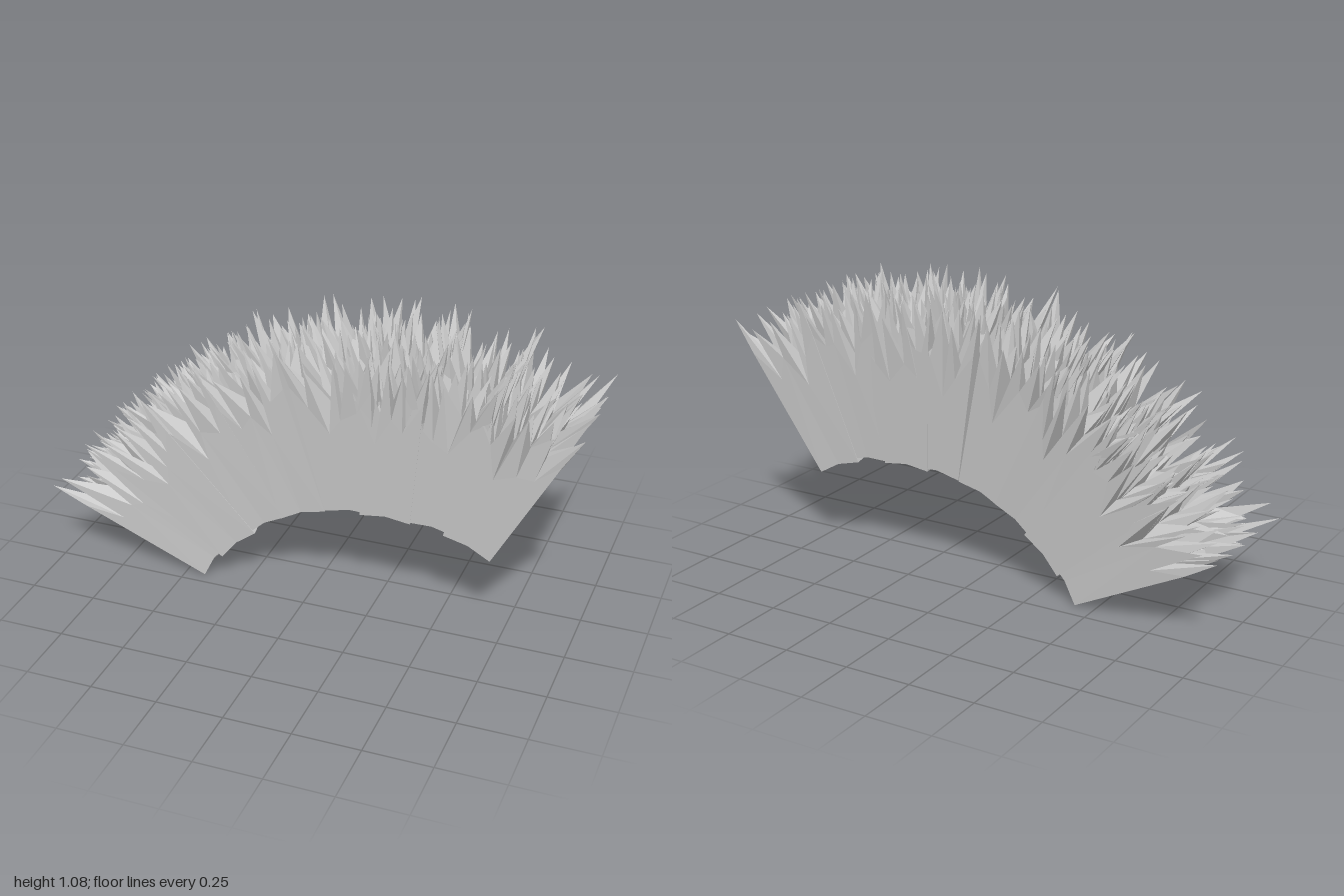
import * as THREE from 'three';

// small seeded generator for the spike irregularity, -0.5 to 0.5
function seeded(seed) {
  return () => {
    seed = (seed * 16807) % 2147483647;
    return seed / 2147483647 - 0.5;
  };
}

const BASE = 0.095;   // half width of a tuft at its root
const TIP = 0.168;    // half width at the spike tips
const LENGTH = 0.665; // root to tip
const N = 5;          // spikes per side

// One tuft: arched underside, flaring walls, and a field of tall pointed spikes
function tuftGeometry(rnd) {
  const pos = [];
  const tri = (a, b, c) => pos.push(...a, ...b, ...c);
  const quad = (a, b, c, d) => { tri(a, b, c); tri(a, c, d); };
  const flare = (h) => BASE + (TIP - BASE) * h / LENGTH;
  const isEdge = (i) => i === 0 || i === N;

  // underside: four corners, a raised middle and slightly raised edge middles
  const root = [-1, 0, 1].map((u) => [-1, 0, 1].map((v) =>
    [u * BASE, 0.013 * (2 - u * u - v * v), v * BASE]));
  for (let i = 0; i < 2; i++) {
    for (let j = 0; j < 2; j++) {
      quad(root[i][j], root[i + 1][j], root[i + 1][j + 1], root[i][j + 1]);
    }
  }

  // gaps between the spikes: each wall has one deep notch near its middle
  const valley = [];
  const notch = [0, 1].map(() => (rnd() > 0 ? 2 : 3));
  for (let i = 0; i <= N; i++) {
    valley.push([]);
    for (let j = 0; j <= N; j++) {
      let h = 0.43 + rnd() * 0.12;
      let u = i / N * 2 - 1, v = j / N * 2 - 1;
      if (isEdge(i) && isEdge(j)) h = 0.52;
      else if ((isEdge(i) && j === notch[0]) || (isEdge(j) && i === notch[1])) h = 0.33 + rnd() * 0.04;
      if (!isEdge(i)) u += rnd() * 0.16;
      if (!isEdge(j)) v += rnd() * 0.16;
      valley[i].push([u * flare(h), h, v * flare(h)]);
    }
  }

  // four-sided spikes, the outer ones following the flare of the walls
  for (let i = 0; i < N; i++) {
    for (let j = 0; j < N; j++) {
      const outerI = i === 0 || i === N - 1, outerJ = j === 0 || j === N - 1;
      const tip = [
        (i / (N - 1) * 2 - 1) * TIP + rnd() * (outerI ? 0.025 : 0.06),
        LENGTH - (outerI && outerJ ? 0 : 0.07 * (rnd() + 0.5)),
        (j / (N - 1) * 2 - 1) * TIP + rnd() * (outerJ ? 0.025 : 0.06),
      ];
      const a = valley[i][j], b = valley[i][j + 1], c = valley[i + 1][j + 1], d = valley[i + 1][j];
      tri(a, b, tip); tri(b, c, tip); tri(c, d, tip); tri(d, a, tip);
    }
  }

  // walls: fans from the root edges up to the notches
  const wall = (feet, tops) => {
    tri(feet[0], feet[1], tops[2]);
    tri(feet[1], tops[3], tops[2]);
    tri(feet[1], feet[2], tops[3]);
    for (let i = 0; i < N; i++) {
      if (i !== 2) tri(feet[i < 2 ? 0 : 2], tops[i + 1], tops[i]);
    }
  };
  const column = (grid, j) => grid.map((row) => row[j]);
  wall(column(root, 2), column(valley, N));
  wall(column(root, 0).reverse(), column(valley, 0).reverse());
  wall([...root[2]].reverse(), [...valley[N]].reverse());
  wall(root[0], valley[0]);

  const geo = new THREE.BufferGeometry();
  geo.setAttribute('position', new THREE.Float32BufferAttribute(pos, 3));
  geo.computeVertexNormals();
  return geo;
}

export function createModel() {
  const model = new THREE.Group();
  model.name = 'spikyCrest';
  const material = new THREE.MeshStandardMaterial({
    color: 0xcccccc, flatShading: true, side: THREE.DoubleSide,
  });

  // root centre x, y and growing direction in degrees, along the arch
  const stations = [
    [-0.37, 0.09, 146], [-0.28, 0.175, 134], [-0.165, 0.285, 124], [-0.02, 0.36, 111],
    [0.165, 0.408, 96], [0.3, 0.408, 90], [0.475, 0.403, 83], [0.608, 0.352, 68],
  ];
  // two rows of tufts side by side, leaning slightly apart: name, z, lean
  const rows = [['front', 0.108, 0.008], ['back', -0.081, -0.03]];

  stations.forEach(([x, y, angle], s) => {
    rows.forEach(([side, z, lean], r) => {
      const rnd = seeded(101 + s * 7919 + r * 104729);
      const tuft = new THREE.Mesh(tuftGeometry(rnd), material);
      tuft.name = `${side}Tuft${s + 1}`;
      tuft.position.set(x, y, z);
      tuft.rotation.set(lean + rnd() * 0.015, 0, THREE.MathUtils.degToRad(angle - 90), 'ZYX');
      model.add(tuft);
    });
  });
  return model;
}
